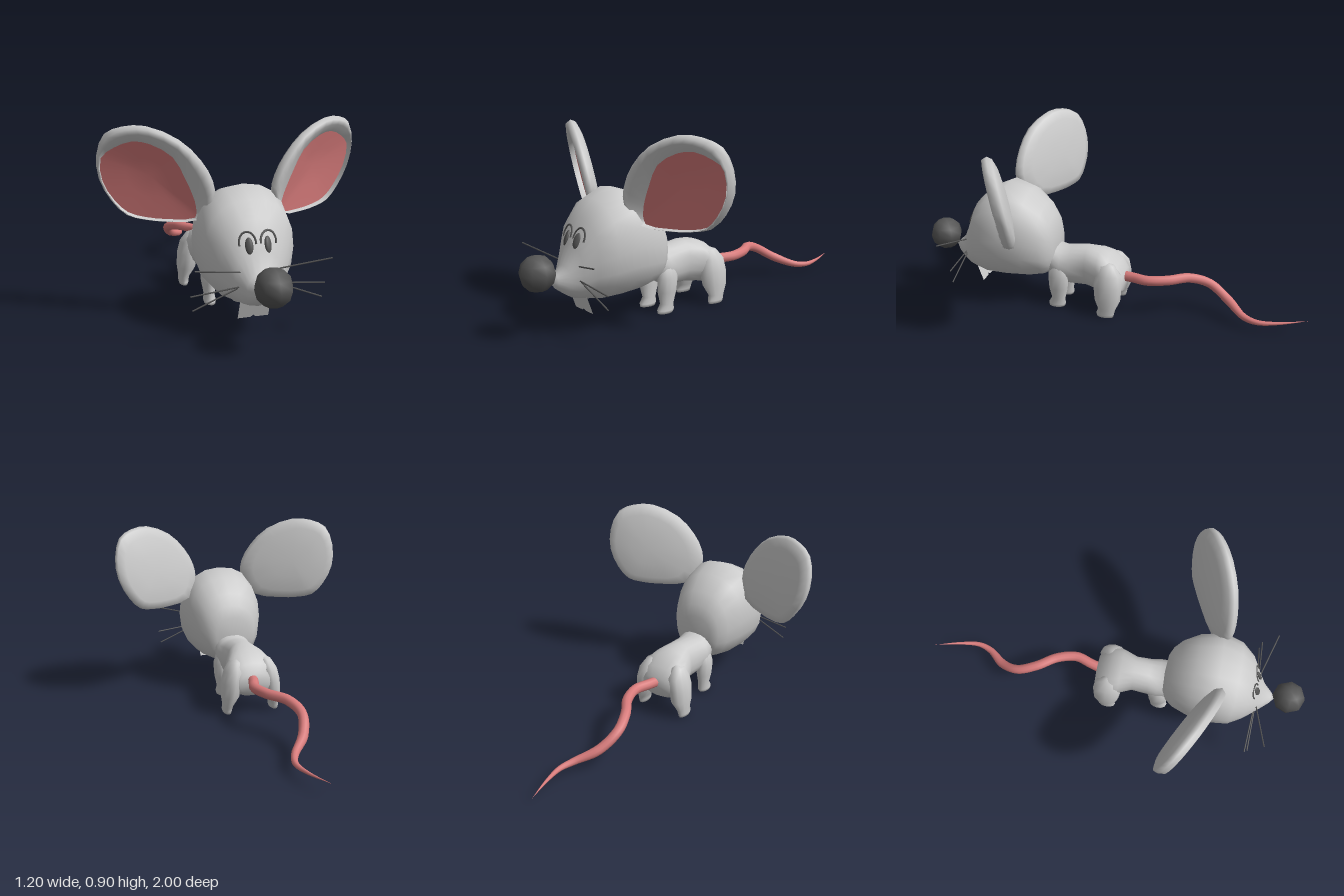
import * as THREE from 'three';
import { mergeVertices } from 'three/addons/utils/BufferGeometryUtils.js';

const V = (x, y, z) => new THREE.Vector3(x, y, z);
const grey = new THREE.MeshStandardMaterial({ color: 0xcccccc });
const greyThin = new THREE.MeshStandardMaterial({ color: 0xcccccc, side: THREE.DoubleSide });
const dark = new THREE.MeshStandardMaterial({ color: 0x555555 });
const pink = new THREE.MeshStandardMaterial({ color: 0xd87c7c });

function add(parent, name, geometry, material) {
  const mesh = new THREE.Mesh(geometry, material);
  mesh.name = name;
  parent.add(mesh);
  return mesh;
}

// Smooth skin over closed rings of points
function loft(rings) {
  const n = rings[0].length, index = [];
  for (let i = 0; i < rings.length - 1; i++) {
    for (let j = 0; j < n; j++) {
      const k = (j + 1) % n, a = i * n + j, b = i * n + k;
      index.push(a, b, b + n, a, b + n, a + n);
    }
  }
  let geometry = new THREE.BufferGeometry().setFromPoints(rings.flat());
  geometry.setIndex(index);
  geometry = mergeVertices(geometry);
  geometry.computeVertexNormals();
  return geometry;
}

const angles = (n) => Array.from({ length: n }, (_, i) => (i / n) * Math.PI * 2);
const soft = (v, p) => Math.sign(v) * Math.abs(v) ** p;

// Sections along z: [z, half width, top, bottom]
const alongZ = (sections, power) => loft(sections.map(([z, w, top, bottom]) =>
  angles(20).map((t) => V(
    w * soft(Math.cos(t), power),
    (top + bottom) / 2 + ((top - bottom) / 2) * soft(Math.sin(t), power), z))));

// Sections along y: [x, y, z, x radius, z radius]
const alongY = (sections) => loft(sections.map(([x, y, z, rx, rz]) =>
  angles(12).map((t) => V(x + rx * Math.sin(t), y, z + rz * Math.cos(t)))));

function rod(a, b, radius) {
  return new THREE.TubeGeometry(new THREE.LineCurve3(a, b), 1, radius, 5);
}

function makeEar() {
  const ear = new THREE.Group();
  const smooth = (list) => new THREE.CatmullRomCurve3(
    list.map(([x, y]) => V(x, y, 0)), true).getPoints(28).slice(0, 28);
  const outer = smooth([[.18, .495], [.32, .475], [.41, .48], [.48, .497], [.54, .56], [.59, .66], [.6, .77],
    [.57, .865], [.5, .9], [.41, .905], [.28, .85], [.19, .76], [.14, .67], [.13, .59]]);
  const inner = smooth([[.2, .495], [.3, .482], [.4, .487], [.47, .507], [.525, .56], [.575, .65], [.582, .755],
    [.53, .805], [.46, .835], [.39, .825], [.3, .77], [.25, .68], [.215, .6], [.2, .55]]);
  const centre = V(.38, .68, 0);
  // Lay a flat point on the slanted plane of the ear
  const lay = (p, d) => V(p.x, p.y, .544 - .5 * (p.x - .15) + .21 * (p.y - .69) + d);
  const ring = (f, d) => outer.map((p, i) => lay(f(p, inner[i]), d));
  const toCentre = (k) => (p) => p.clone().lerp(centre, k);

  add(ear, 'earShell', loft([
    ring(toCentre(1), -.05), ring(toCentre(.6), -.046), ring(toCentre(.22), -.036), ring(toCentre(.04), -.02),
    ring(toCentre(0), .005), ring((p, q) => p.clone().lerp(q, .2), .032),
    ring((p, q) => p.clone().lerp(q, .5), .036), ring((p, q) => q, .005),
  ]), grey);
  add(ear, 'earLining', loft([
    ring((p, q) => q, .005), ring((p, q) => q.clone().lerp(centre, .5), -.006), ring(toCentre(1), -.012),
  ]), pink);
  return ear;
}

function makeTail() {
  const curve = new THREE.CatmullRomCurve3([
    V(0, .19, -.04), V(.02, .195, -.12), V(.042, .198, -.2), V(.015, .2, -.3), V(-.05, .197, -.4),
    V(-.08, .165, -.5), V(-.045, .105, -.6), V(.03, .063, -.69), V(.055, .055, -.76), V(.042, .058, -.86),
    V(0, .07, -1)]);
  const rows = 60, sides = 10, radius = .026;
  const geometry = new THREE.TubeGeometry(curve, rows, radius, sides);
  const pos = geometry.attributes.position;
  // Taper the end to a point
  for (let i = 0; i < pos.count; i++) {
    const u = Math.floor(i / (sides + 1)) / rows;
    const c = curve.getPointAt(u);
    const k = Math.max(.02, Math.min(1, (1 - u) / .4) * (1 - .15 * u));
    const p = V().fromBufferAttribute(pos, i).sub(c).multiplyScalar(k).add(c);
    pos.setXYZ(i, p.x, p.y, p.z);
  }
  return geometry;
}

export function createModel() {
  const mouse = new THREE.Group();
  mouse.name = 'mouse';

  const head = add(mouse, 'head', alongZ([
    [.275, 0, .33, .33], [.28, .09, .42, .24], [.3, .13, .48, .19], [.34, .165, .54, .165],
    [.42, .2, .61, .15], [.53, .22, .645, .145], [.63, .203, .6, .145], [.7, .155, .53, .155],
    [.75, .105, .41, .165], [.79, .066, .32, .19], [.83, .03, .285, .22], [.855, 0, .255, .255],
  ], .88), grey);

  add(mouse, 'body', alongZ([
    [-.085, 0, .18, .18], [-.08, .08, .225, .12], [-.05, .12, .27, .1], [0, .13, .31, .1],
    [.05, .115, .328, .11], [.12, .085, .335, .12], [.2, .09, .325, .12], [.25, .1, .318, .13],
    [.3, .095, .33, .16], [.36, .08, .36, .18],
  ], .9), grey);

  const nose = add(mouse, 'nose', new THREE.SphereGeometry(.083, 8, 6), dark);
  nose.position.set(0, .307, .917);

  add(mouse, 'tail', makeTail(), pink);

  // Point on the front of the head
  const ray = new THREE.Raycaster();
  const onHead = (x, y) => {
    ray.set(V(x, y, 2), V(0, 0, -1));
    return ray.intersectObject(head)[0].point;
  };

  for (const [side, s] of [['left', 1], ['right', -1]]) {
    const ear = makeEar();
    ear.name = side + 'Ear';
    ear.scale.x = s;
    mouse.add(ear);

    // Legs, from the sole up
    add(mouse, side + 'FrontLeg', alongY([
      [s * .07, .005, .272, 0, 0], [s * .07, .005, .272, .026, .042], [s * .07, .02, .27, .03, .046],
      [s * .07, .05, .262, .026, .036], [s * .072, .11, .262, .036, .05], [s * .075, .18, .26, .038, .055],
      [s * .07, .24, .26, .025, .04], [s * .06, .26, .26, 0, 0],
    ]), grey);
    add(mouse, side + 'HindLeg', alongY([
      [s * .125, .01, -.005, 0, 0], [s * .125, .01, -.005, .02, .042], [s * .125, .025, -.005, .024, .046],
      [s * .122, .05, -.012, .026, .045], [s * .11, .1, -.012, .045, .068], [s * .1, .17, -.01, .053, .074],
      [s * .09, .23, -.01, .048, .066], [s * .08, .275, 0, .03, .04], [s * .07, .29, 0, 0, 0],
    ]), grey);

    // Eye with its lid line
    const eye = add(mouse, side + 'Eye', new THREE.SphereGeometry(1, 14, 10), dark);
    eye.position.copy(onHead(s * .042, .43));
    eye.scale.set(.018, .036, .01);
    eye.rotation.set(-.4, s * .45, 0);
    const arc = Array.from({ length: 9 }, (_, i) => {
      const t = -.25 + (i / 8) * 3.5;
      return onHead(s * (.046 + .036 * Math.cos(t)), .44 + .045 * Math.sin(t));
    });
    add(mouse, side + 'EyelidLine',
      new THREE.TubeGeometry(new THREE.CatmullRomCurve3(arc), 16, .005, 5), dark);

    // Whiskers
    [[.07, .32, .755, .3, .372, .82], [.09, .265, .765, .3, .24, .755], [.09, .265, .76, .29, .175, .75]]
      .forEach(([x, y, z, X, Y, Z], i) => add(mouse, `${side}Whisker${i + 1}`,
        rod(V(s * x * .8, y, z - .005), V(s * X, Y, Z), .0035), dark));

    // Front tooth
    const tooth = new THREE.Shape([[0, .16], [.07, .178], [.07, .09], [.012, .09], [0, .1]]
      .map(([x, y]) => new THREE.Vector2(s * x, y)));
    const toothGeometry = new THREE.ShapeGeometry(tooth);
    const pos = toothGeometry.attributes.position;
    for (let i = 0; i < pos.count; i++) pos.setZ(i, .685 + (pos.getY(i) - .09) * .35);
    toothGeometry.computeVertexNormals();
    add(mouse, side + 'Tooth', toothGeometry, greyThin);
  }
  return mouse;
}
